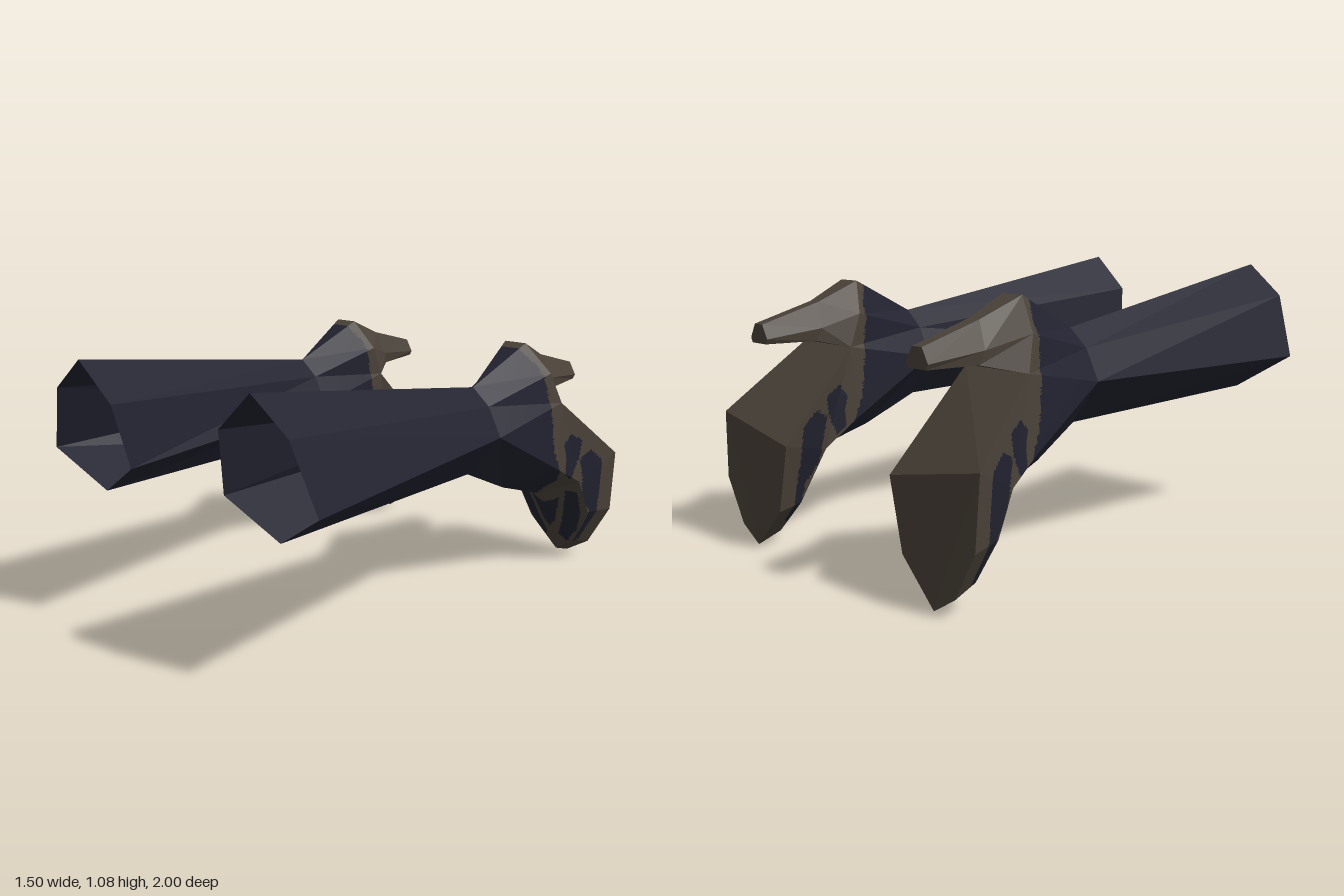
import * as THREE from 'three';

const navy = new THREE.MeshStandardMaterial({ color: 0x222230, side: THREE.DoubleSide, flatShading: true });
navy.name = 'navy cloth';
const brown = new THREE.MeshStandardMaterial({ color: 0x4a4239, side: THREE.DoubleSide, flatShading: true });
brown.name = 'brown leather';

const V = (x, y, z) => new THREE.Vector3(x, y, z);

// Is (u, v) inside a polygon of [u, v] pairs?
function inside(poly, u, v) {
  let hit = false;
  for (let i = 0, j = poly.length - 1; i < poly.length; j = i++) {
    const [a, b] = poly[i], [c, d] = poly[j];
    if ((b > v) !== (d > v) && u < ((c - a) * (v - b)) / (d - b) + a) hit = !hit;
  }
  return hit;
}

// Glove pattern: cuff edge as [y, z], cloth patches on the sides as [z, y]
const cuff = [[1.1, -0.5], [1.03, -0.52], [0.95, -0.565], [0.8, -0.59], [0.68, -0.6], [0.6, -0.61], [0.5, -0.65], [0.43, -0.7], [0, -0.7]];
const sidePatches = [
  [[-0.68, 0.6], [-0.72, 0.645], [-0.785, 0.61], [-0.77, 0.53], [-0.73, 0.44], [-0.69, 0.47], [-0.695, 0.54]],
  [[-0.78, 0.52], [-0.84, 0.56], [-0.91, 0.5], [-0.92, 0.1], [-0.89, 0.09], [-0.87, 0.26], [-0.81, 0.34], [-0.8, 0.43]],
];
// Cloth patches on the finger fronts, as [distance from the middle, y]
const fingerPatches = [
  [[0.145, 0.36], [0.1, 0.37], [0.06, 0.2], [0.03, 0.13], [0.06, 0.09], [0.11, 0.16], [0.14, 0.25]],
  [[-0.01, 0.3], [0.03, 0.31], [0.07, 0.33], [0.03, 0.2], [-0.01, 0.16]],
];

function clothOnHand(p) {
  for (let i = 1; i < cuff.length; i++) {
    const [y0, z0] = cuff[i - 1], [y1, z1] = cuff[i];
    if (p.y <= y0 && p.y >= y1) {
      if (p.z > z0 + ((z1 - z0) * (p.y - y0)) / (y1 - y0)) return true;
      break;
    }
  }
  return clothOnSide(p);
}
const clothOnSide = (p) => sidePatches.some((q) => inside(q, p.z, p.y));
const clothOnFingers = (p) => fingerPatches.some((q) => inside(q, Math.abs(p.x - 0.53), p.y));
const allCloth = () => true;
const allLeather = () => false;

// Quads between two equally long rings
function loft(a, b, closed = true) {
  const faces = [];
  for (let i = 0; i < a.length - (closed ? 0 : 1); i++) {
    const j = (i + 1) % a.length;
    faces.push([a[i], a[j], b[j], b[i]]);
  }
  return faces;
}

// Polygons to a part of one or two colours; detail n divides each triangle so the pattern can follow it
function buildPart(name, faces, centre, isCloth, n, side) {
  const lists = [[], []];
  const emit = (a, b, c) => {
    const mid = a.clone().add(b).add(c).divideScalar(3);
    const normal = b.clone().sub(a).cross(c.clone().sub(a));
    let tri = [a, b, c];
    const outward = normal.dot(mid.clone().sub(centre)) > 0;
    if (outward !== (side > 0)) tri = [a, c, b];
    const list = lists[isCloth(mid) ? 0 : 1];
    for (const p of tri) list.push(p.x * side, p.y, p.z);
  };
  for (const f of faces) {
    for (let k = 1; k < f.length - 1; k++) {
      const [a, b, c] = [f[0], f[k], f[k + 1]];
      const at = (i, j) => a.clone()
        .addScaledVector(b.clone().sub(a), i / n)
        .addScaledVector(c.clone().sub(a), j / n);
      for (let i = 0; i < n; i++) {
        for (let j = 0; j < n - i; j++) {
          emit(at(i, j), at(i + 1, j), at(i, j + 1));
          if (i + j < n - 1) emit(at(i + 1, j), at(i + 1, j + 1), at(i, j + 1));
        }
      }
    }
  }
  const part = new THREE.Group();
  part.name = name;
  lists.forEach((list, i) => {
    if (!list.length) return;
    const g = new THREE.BufferGeometry();
    g.setAttribute('position', new THREE.Float32BufferAttribute(list, 3));
    g.computeVertexNormals();
    const mesh = new THREE.Mesh(g, i ? brown : navy);
    mesh.name = name + (i ? 'Leather' : 'Cloth');
    part.add(mesh);
  });
  return part;
}

function buildArm(side) {
  const arm = new THREE.Group();
  arm.name = side > 0 ? 'leftArm' : 'rightArm';
  const add = (...args) => arm.add(buildPart(...args, side));

  // Sleeve: open six-sided tube, rings run top, outer, bottom, inner
  const sleeveEnd = [V(0.45, 1.08, 1), V(0.61, 0.95, 0.99), V(0.7, 0.69, 0.95), V(0.47, 0.54, 0.89), V(0.25, 0.68, 0.94), V(0.285, 0.93, 0.99)];
  const wrist = [V(0.47, 0.9, -0.25), V(0.55, 0.83, -0.25), V(0.61, 0.71, -0.25), V(0.47, 0.535, -0.23), V(0.335, 0.71, -0.25), V(0.39, 0.83, -0.25)];
  add('sleeve', loft(sleeveEnd, wrist), V(0.47, 0.75, 0.3), allCloth, 1);

  // Hand: from the wrist to thumb base, palm and knuckles
  const [T, TR, R, B, L, TL] = wrist;
  const t1 = V(0.42, 1.045, -0.56), t2 = V(0.52, 1.045, -0.56);
  const s1 = V(0.34, 0.92, -0.61), s2 = V(0.62, 0.92, -0.61);
  const w1 = V(0.335, 0.79, -0.66), w2 = V(0.65, 0.79, -0.66);
  const c1 = V(0.33, 0.5, -0.64), c2 = V(0.66, 0.5, -0.64);
  const palm = V(0.5, 0.43, -0.46), palmEnd = V(0.53, 0.345, -0.73);

  // Finger outlines: front edge and back edge, outer side round the tip to inner side
  const front = [V(0.69, 0.42, -0.78), V(0.7, 0.26, -0.86), V(0.62, 0.1, -0.89), V(0.53, 0.04, -0.895), V(0.4, 0.18, -0.88), V(0.36, 0.39, -0.78)];
  const back = [V(0.75, 0.52, -0.99), V(0.735, 0.25, -1), V(0.635, 0.07, -1), V(0.53, 0.005, -1), V(0.37, 0.17, -1), V(0.31, 0.44, -1)];
  const [j2, j1] = [front[0], front[5]];
  const [k2, k1] = [back[0], back[5]];

  add('hand', [
    [T, t1, t2], [T, t2, s2, TR], [T, t1, s1, TL],
    [TR, s2, w2, R], [TL, s1, w1, L],
    [R, w2, c2], [w2, k2, j2, c2], [L, w1, c1], [w1, k1, j1, c1],
    [R, c2, palm, B], [c2, j2, palmEnd, palm],
    [L, c1, palm, B], [c1, j1, palmEnd, palm],
  ], V(0.49, 0.66, -0.6), clothOnHand, 24);
  add('handBack', [[w1, w2, k2, k1]], V(0.5, 0.5, -0.6), allLeather, 1);

  // Curled fingers: edge band, patterned front and flat back
  const middle = V(0.53, 0.3, -0.93);
  add('fingerEdge', loft(front, back, false), middle, clothOnSide, 16);
  add('fingerFront', [[palmEnd, ...front]], middle, clothOnFingers, 24);
  add('fingerBack', [back], middle, allLeather, 1);

  // Thumb: three rings and a flat tip
  const base = [t1, t2, s2, w2, w1, s1];
  const joint = [V(0.435, 0.97, -0.74), V(0.49, 0.97, -0.74), V(0.54, 0.87, -0.76), V(0.53, 0.82, -0.78), V(0.4, 0.82, -0.78), V(0.39, 0.87, -0.76)];
  const tip = [V(0.44, 0.9, -1), V(0.49, 0.9, -1), V(0.52, 0.845, -1), V(0.51, 0.825, -1), V(0.42, 0.825, -1), V(0.41, 0.845, -1)];
  add('thumbBase', loft(base, joint), V(0.47, 0.89, -0.66), allLeather, 1);
  add('thumb', [...loft(joint, tip), tip], V(0.47, 0.87, -0.88), allLeather, 1);
  return arm;
}

export function createModel() {
  const model = new THREE.Group();
  model.name = 'glovedArms';
  model.add(buildArm(1), buildArm(-1));
  return model;
}
